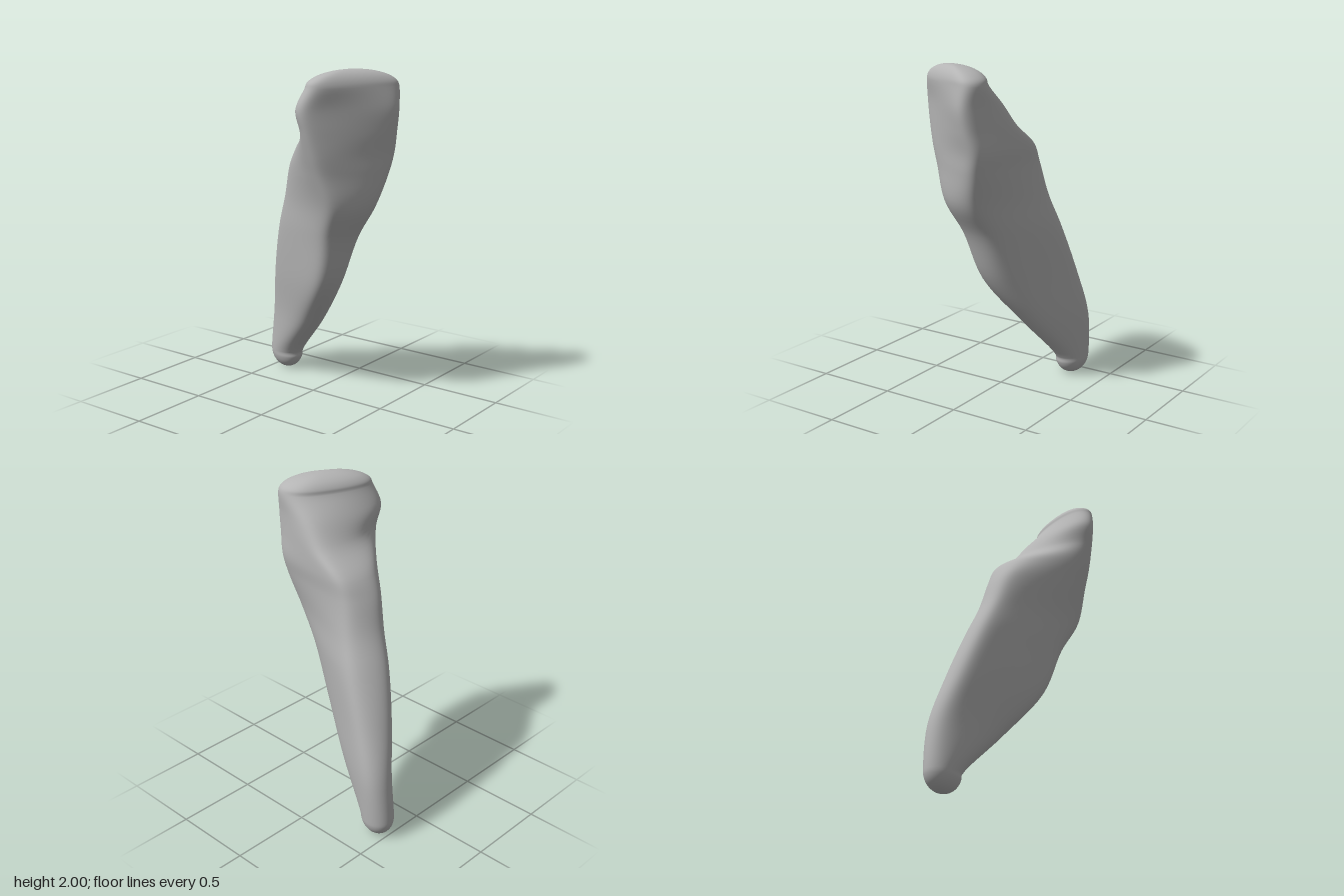
import * as THREE from 'three';

// Each row: height, x range, z range, then four rounded corners (x, z):
// outer edge, front edge, tongue side near and far.
const SECTIONS = [
  [0.12, 0.175, 0.36, -0.53, -0.3, 0.23, -0.36, 0.27, -0.36, 0.3, -0.44, 0.25, -0.45],
  [0.4, 0.07, 0.37, -0.5, -0.06, 0.14, -0.16, 0.2, -0.14, 0.31, -0.38, 0.24, -0.41],
  [0.7, -0.07, 0.335, -0.425, 0.155, 0.01, 0.06, 0.12, 0.06, 0.26, -0.26, 0.16, -0.31],
  [1.0, -0.14, 0.29, -0.33, 0.28, -0.07, 0.16, 0.08, 0.2, 0.22, -0.15, 0.09, -0.22],
  [1.2, -0.21, 0.245, -0.25, 0.405, -0.13, 0.24, 0.05, 0.32, 0.17, -0.09, 0.05, -0.16],
  [1.4, -0.275, 0.22, -0.18, 0.465, -0.19, 0.23, 0.07, 0.38, 0.14, -0.05, 0, -0.1],
  [1.52, -0.315, 0.22, -0.1, 0.488, -0.23, 0.22, 0.08, 0.4, 0.13, 0, -0.05, -0.02],
  [1.65, -0.35, 0.205, 0.06, 0.515, -0.26, 0.2, 0.08, 0.43, 0.13, 0.14, -0.09, 0.11],
  [1.78, -0.373, 0.185, 0.11, 0.533, -0.29, 0.2, 0.08, 0.45, 0.12, 0.25, -0.13, 0.19],
  [1.9, -0.345, 0.168, 0.165, 0.523, -0.26, 0.24, 0.08, 0.45, 0.08, 0.34, -0.12, 0.26],
];
const AROUND = 96, UP = 114;

// Smooth rounded section, fitted to the row's x and z ranges
function section([y, x0, x1, z0, z1, ...c]) {
  const pts = [];
  for (let j = 0; j < AROUND; j++) {
    const t = (j / AROUND) * Math.PI * 2, nx = Math.cos(t), nz = Math.sin(t);
    let sum = 0, x = 0, z = 0;
    for (let k = 0; k < c.length; k += 2) {
      const w = Math.exp(13 * (nx * c[k] + nz * c[k + 1]));
      sum += w;
      x += w * c[k];
      z += w * c[k + 1];
    }
    pts.push(new THREE.Vector3(x / sum + 0.08 * nx, y, z / sum + 0.08 * nz));
  }
  const box = new THREE.Box3().setFromPoints(pts);
  for (const p of pts) {
    p.x = THREE.MathUtils.mapLinear(p.x, box.min.x, box.max.x, x0, x1);
    p.z = THREE.MathUtils.mapLinear(p.z, box.min.z, box.max.z, z0, z1);
  }
  return pts;
}

// Rings that close an end section into a rounded cap reaching height `end`
function cap(row, end) {
  const base = section(row);
  const centre = new THREE.Vector3((row[1] + row[2]) / 2, row[0], (row[3] + row[4]) / 2);
  return [0.3, 0.6, 0.9, 1.2, 1.45].map((a) => base.map((p) => {
    const q = centre.clone().lerp(p, Math.cos(a));
    q.y += (end - row[0]) * Math.sin(a);
    return q;
  }));
}

function toothGeometry() {
  const first = SECTIONS[0], last = SECTIONS[SECTIONS.length - 1];
  const rings = [...cap(first, 0).reverse(), ...SECTIONS.map(section), ...cap(last, 2)];
  const pos = [], index = [];
  // Smooth lengthwise curves through the sections
  for (let j = 0; j < AROUND; j++) {
    const curve = new THREE.CatmullRomCurve3(rings.map((r) => r[j]), false, 'centripetal');
    for (const p of curve.getPoints(UP)) pos.push(p.x, p.y, p.z);
  }
  const id = (i, j) => (j % AROUND) * (UP + 1) + i;
  // Root tip and biting edge
  const pole = (row, y) => {
    pos.push((row[1] + row[2]) / 2, y, (row[3] + row[4]) / 2);
    return pos.length / 3 - 1;
  };
  const tip = pole(first, 0), edge = pole(last, 2);
  for (let j = 0; j < AROUND; j++) {
    for (let i = 0; i < UP; i++) {
      const a = id(i, j), b = id(i, j + 1), c = id(i + 1, j), d = id(i + 1, j + 1);
      index.push(a, c, b, b, c, d);
    }
    index.push(tip, id(0, j), id(0, j + 1), edge, id(UP, j + 1), id(UP, j));
  }
  const g = new THREE.BufferGeometry();
  g.setAttribute('position', new THREE.Float32BufferAttribute(pos, 3));
  g.setIndex(index);
  g.computeVertexNormals();
  return g;
}

export function createModel() {
  const group = new THREE.Group();
  group.name = 'incisorTooth';
  const enamel = new THREE.MeshStandardMaterial({ color: 0xb4b4b4 });
  enamel.name = 'grey enamel';
  const tooth = new THREE.Mesh(toothGeometry(), enamel);
  tooth.name = 'crownAndRoot';
  group.add(tooth);
  return group;
}
